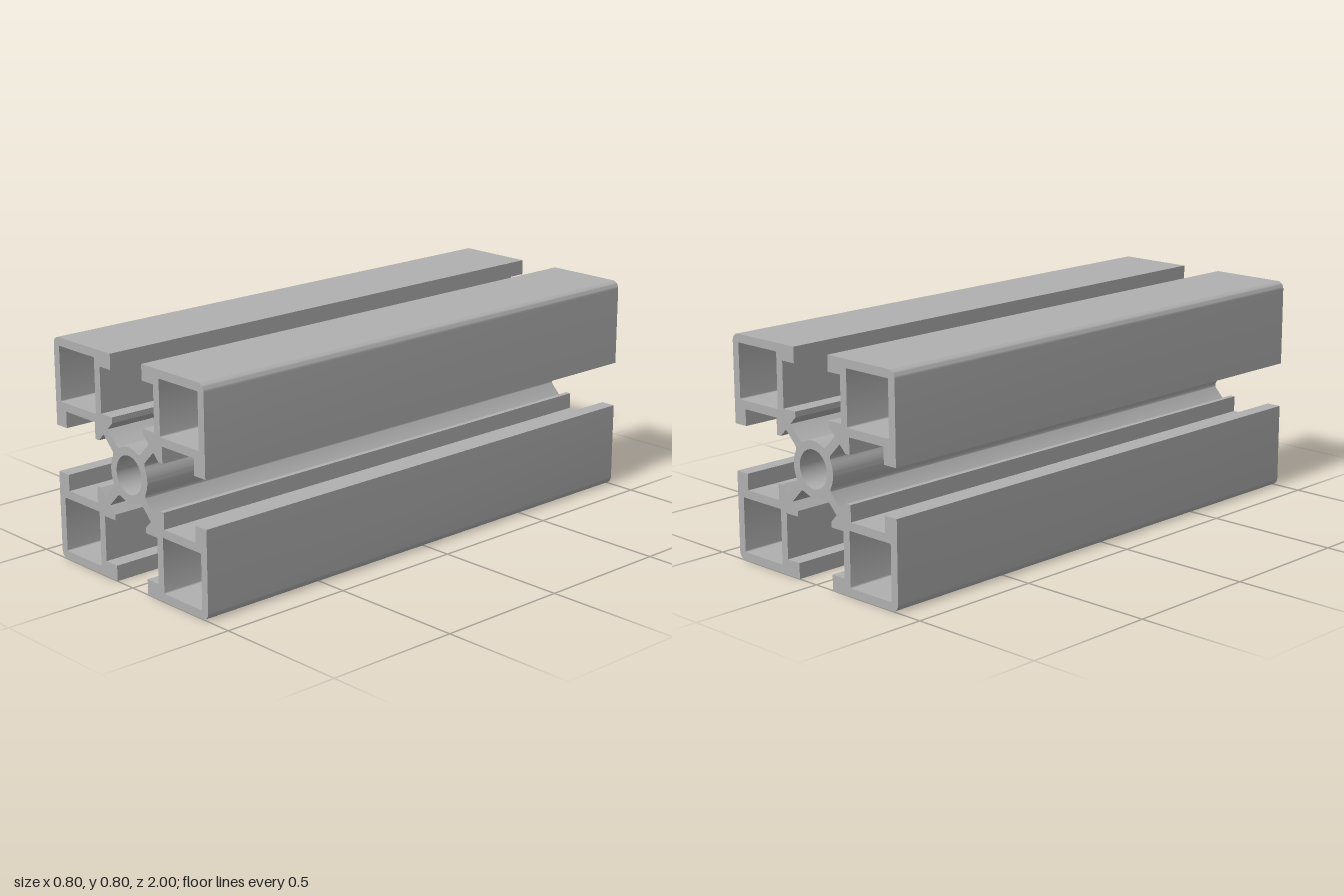
import * as THREE from 'three';
import { toCreasedNormals } from 'three/addons/utils/BufferGeometryUtils.js';

const RING = 0.098, BORE = 0.068, FILLET = 0.017, STRUT = 0.0163;
const HALF = 0.4, CORNER = 0.028, CENTRE_Y = 0.4, LENGTH = 2;

// Points on an arc, angles in degrees
function arc(cx, cy, r, from, to, n) {
  return Array.from({ length: n + 1 }, (_, i) => {
    const a = THREE.MathUtils.degToRad(from + (to - from) * i / n);
    return new THREE.Vector2(cx + r * Math.cos(a), cy + r * Math.sin(a));
  });
}

// One eighth of the outline: from the top of the ring out to the rounded corner
function eighth() {
  const d = RING + FILLET, off = STRUT + FILLET;
  const along = Math.sqrt(d * d - off * off);
  const fx = (along - off) / Math.SQRT2, fy = (along + off) / Math.SQRT2;
  const meet = THREE.MathUtils.radToDeg(Math.atan2(fy, fx));
  const slot = [
    [0.111, 0.134], [0.084, 0.161], [0.084, 0.181], [0.143, 0.181],
    [0.143, 0.344], [0.084, 0.344], [0.084, HALF],
  ].map(([x, y]) => new THREE.Vector2(x, y));
  return [
    ...arc(0, 0, RING, 90, meet, 6),
    ...arc(fx, fy, FILLET, meet + 180, 315, 6).slice(1),
    ...slot,
    ...arc(HALF - CORNER, HALF - CORNER, CORNER, 90, 45, 5),
  ];
}

// Mirror the eighth over the diagonal, then repeat it for the four quadrants
function outline() {
  const half = eighth();
  const mirrored = half.slice(0, -1).reverse().map(p => new THREE.Vector2(p.y, p.x));
  const quadrant = [...half, ...mirrored].slice(0, -1);
  const points = [];
  for (let k = 0; k < 4; k++) {
    for (const p of quadrant) {
      points.push(p.clone().rotateAround(new THREE.Vector2(), -k * Math.PI / 2));
    }
  }
  return points.reverse();
}

// Square chamber with slightly eased corners
function chamber(sx, sy) {
  const mid = 0.2715, h = 0.0985, r = 0.004;
  const points = [];
  for (let k = 0; k < 4; k++) {
    const a = Math.PI / 4 + k * Math.PI / 2;
    const cx = Math.sign(Math.cos(a)) * (h - r), cy = Math.sign(Math.sin(a)) * (h - r);
    points.push(...arc(sx * mid + cx, sy * mid + cy, r, k * 90, k * 90 + 90, 3));
  }
  return new THREE.Path(points);
}

export function createModel() {
  const aluminium = new THREE.MeshStandardMaterial({ color: 0xb0b0b0 });
  aluminium.name = 'aluminium grey';

  const section = new THREE.Shape(outline());
  section.holes.push(new THREE.Path(arc(0, 0, BORE, 360, 0, 48).slice(0, -1)));
  for (const sx of [-1, 1]) for (const sy of [-1, 1]) section.holes.push(chamber(sx, sy));

  const extruded = new THREE.ExtrudeGeometry(section, { depth: LENGTH, bevelEnabled: false });
  extruded.translate(0, CENTRE_Y, -LENGTH / 2);
  const profile = new THREE.Mesh(toCreasedNormals(extruded, Math.PI / 5), aluminium);
  profile.name = 'slottedProfile';

  const model = new THREE.Group();
  model.name = 'extrudedRail';
  model.add(profile);
  return model;
}
